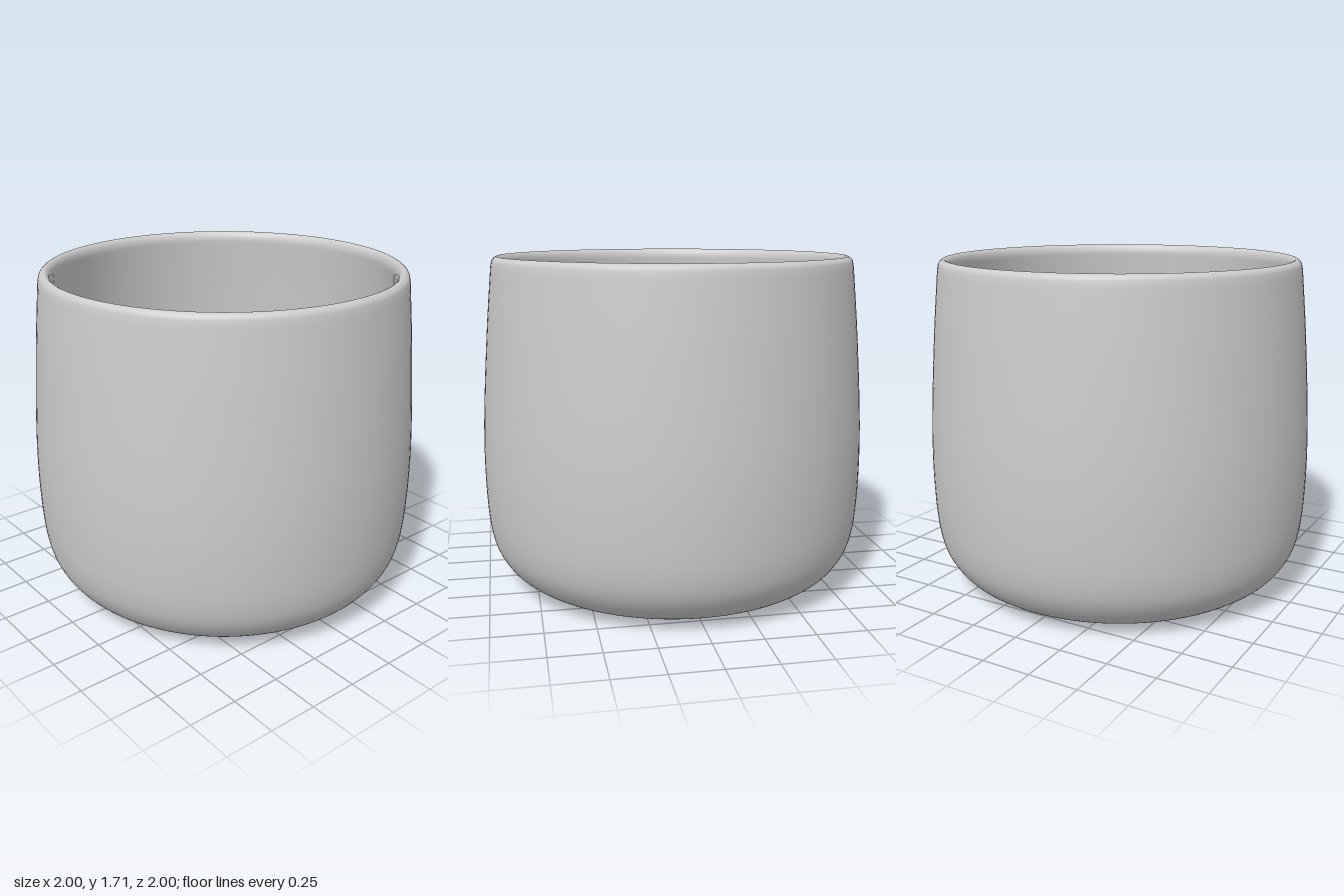
import * as THREE from 'three';

const SEGMENTS = 128;

// Smooth curve through [radius, height] pairs
function smoothProfile(pairs, steps) {
  const curve = new THREE.SplineCurve(pairs.map(([r, y]) => new THREE.Vector2(r, y)));
  return curve.getPoints(steps);
}

export function createModel() {
  const group = new THREE.Group();
  group.name = 'cup';
  const material = new THREE.MeshStandardMaterial({ color: 0xcccccc, side: THREE.DoubleSide });

  const addLathe = (name, points) => {
    const mesh = new THREE.Mesh(new THREE.LatheGeometry(points, SEGMENTS), material);
    mesh.name = name;
    group.add(mesh);
  };

  // Slightly domed underside, meeting the wall at a crisp edge
  addLathe('base', smoothProfile([[0, 0], [0.3, 0.002], [0.55, 0.007], [0.75, 0.015]], 12));

  // Outer wall, rounded rim, inner wall and floor in one smooth sweep
  const outerWall = smoothProfile([
    [0.75, 0.015], [0.82, 0.046], [0.89, 0.1], [0.945, 0.18], [0.975, 0.27], [0.992, 0.4],
    [1, 0.6], [0.998, 0.8], [0.988, 1], [0.974, 1.2], [0.958, 1.4], [0.935, 1.64],
  ], 60);
  const rim = smoothProfile([
    [0.935, 1.64], [0.931, 1.67], [0.923, 1.695], [0.9, 1.711], [0.879, 1.697], [0.87, 1.67], [0.871, 1.64],
  ], 24);
  const innerWall = smoothProfile([
    [0.871, 1.64], [0.893, 1.4], [0.909, 1.2], [0.923, 1], [0.933, 0.8], [0.935, 0.6],
    [0.928, 0.42], [0.912, 0.3], [0.885, 0.21], [0.84, 0.145], [0.78, 0.1], [0.71, 0.08],
  ], 60);
  const floor = smoothProfile([[0.71, 0.08], [0.5, 0.073], [0.25, 0.071], [0, 0.07]], 12);
  addLathe('body', [...outerWall, ...rim.slice(1), ...innerWall.slice(1), ...floor.slice(1)]);

  return group;
}
